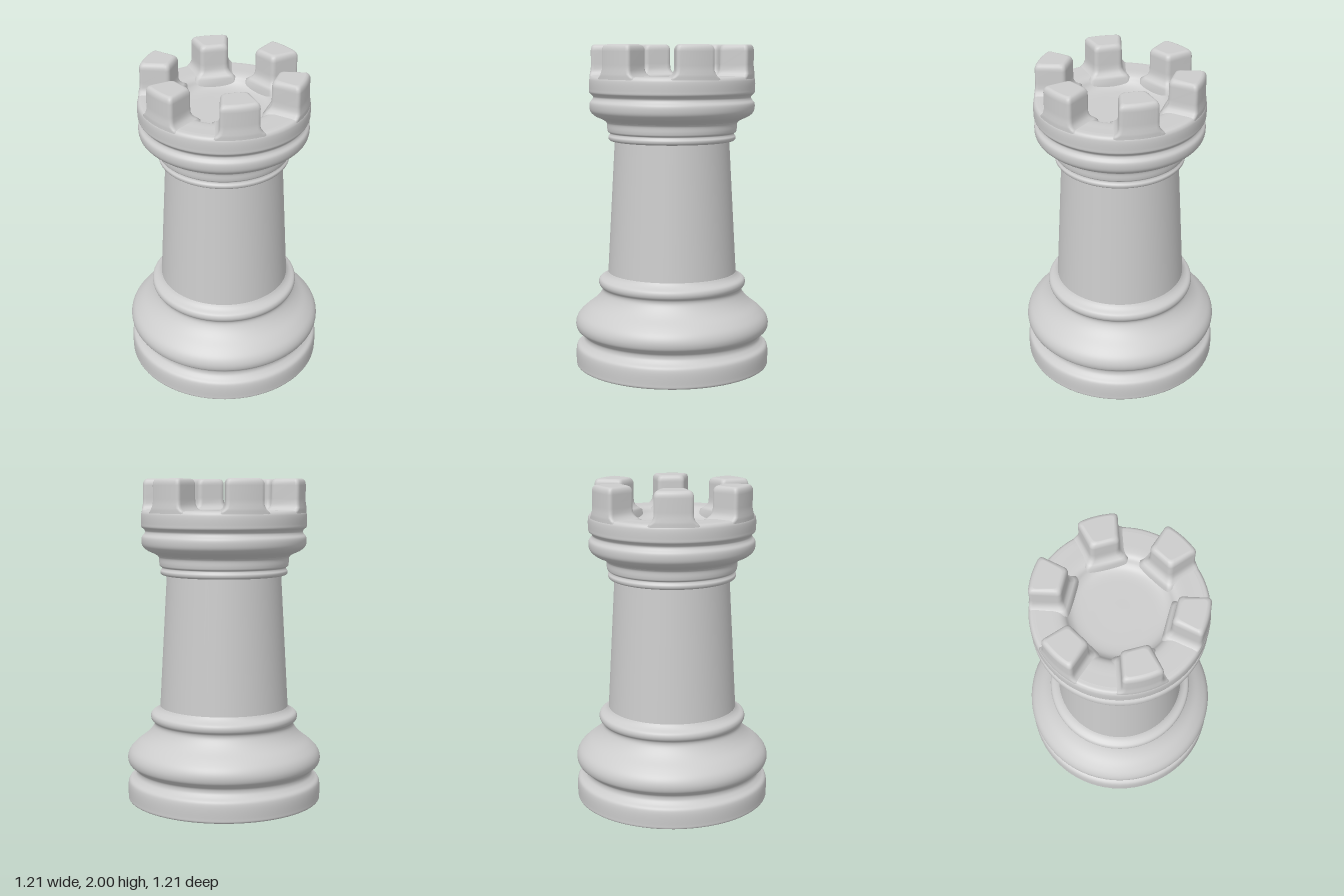
import * as THREE from 'three';

const stone = new THREE.MeshStandardMaterial({ color: 0xcccccc });
stone.name = 'paleGrey';

const SEGMENTS = 72;

// Turned part: smooth curve through [radius, height] points, listed bottom to top
function turned(name, points, steps) {
  const curve = new THREE.CatmullRomCurve3(
    points.map(([r, y]) => new THREE.Vector3(r, y, 0)), false, 'centripetal');
  const profile = curve.getPoints(steps).map(p => new THREE.Vector2(Math.max(p.x, 0), p.y));
  const mesh = new THREE.Mesh(new THREE.LatheGeometry(profile, SEGMENTS), stone);
  mesh.name = name;
  return mesh;
}

// Rounded wedge outline of a battlement block, grown by d on every side
function wedgeOutline(d) {
  const xi = 0.31 - d, xo = Math.min(0.5 + d, 0.506);
  const hi = 0.082 + d, ho = 0.118 + d, r = 0.025;
  const corners = [[xi, -hi], [xo, -ho], [xo, ho], [xi, hi]].map(c => new THREE.Vector2(...c));
  const out = [];
  corners.forEach((c, i) => {
    const toward = q => q.clone().sub(c).setLength(r).add(c);
    const arc = new THREE.QuadraticBezierCurve(
      toward(corners[(i + 3) % 4]), c, toward(corners[(i + 1) % 4]));
    out.push(...arc.getPoints(5));
    if (i === 1) { // extra points so the outer face can follow the round rim
      for (let k = 1; k < 6; k++) out.push(new THREE.Vector2(xo, (ho - r) * (k / 3 - 1)));
    }
  });
  out.forEach(p => { p.x -= p.y * p.y * (p.x - xi) / (xo - xi); });
  return out;
}

// Block lofted from outlines: flared foot, straight sides, softened top
function merlonGeometry() {
  const levels = [
    [1.74, 0.045], [1.80, 0.04], [1.812, 0.024], [1.828, 0.009], [1.85, 0.001], [1.88, 0],
    [1.96, 0], [1.975, -0.001], [1.988, -0.006], [1.996, -0.013], [2.0, -0.023], [2.0, -0.027]];
  const positions = [], index = [];
  let n = 0;
  for (const [y, d] of levels) {
    const outline = wedgeOutline(d);
    n = outline.length;
    outline.forEach(p => positions.push(p.x, y, p.y));
  }
  const top = (levels.length - 1) * n, centre = levels.length * n;
  positions.push(0.4, 2, 0);
  for (let i = 0; i < n; i++) {
    const j = (i + 1) % n;
    for (let k = 0; k < top; k += n) {
      index.push(k + i, k + n + i, k + j, k + j, k + n + i, k + n + j);
    }
    index.push(centre, top + j, top + i);
  }
  const geometry = new THREE.BufferGeometry();
  geometry.setAttribute('position', new THREE.Float32BufferAttribute(positions, 3));
  geometry.setIndex(index);
  geometry.computeVertexNormals();
  return geometry;
}

export function createModel() {
  const model = new THREE.Group();
  model.name = 'chessRook';

  // Underside
  const underside = new THREE.Mesh(new THREE.CircleGeometry(0.59, SEGMENTS), stone);
  underside.name = 'underside';
  underside.rotation.x = Math.PI / 2;
  model.add(underside);

  // Foot with two rolls and a neck ring
  model.add(turned('base', [
    [0.59, 0], [0.603, 0.008], [0.605, 0.03], [0.605, 0.1], [0.597, 0.128], [0.572, 0.148],
    [0.555, 0.17], [0.555, 0.195], [0.575, 0.215], [0.598, 0.235], [0.606, 0.262],
    [0.603, 0.29], [0.588, 0.32], [0.55, 0.358], [0.49, 0.405], [0.455, 0.443],
    [0.438, 0.475], [0.44, 0.494], [0.455, 0.51], [0.46, 0.53], [0.453, 0.55],
    [0.425, 0.567], [0.41, 0.58], [0.398, 0.597]], 110));

  // Tapering tower
  const shaft = new THREE.Mesh(
    new THREE.CylinderGeometry(0.354, 0.401, 0.835, SEGMENTS, 1, true), stone);
  shaft.name = 'shaft';
  shaft.position.y = 1.0025;
  model.add(shaft);

  // Thin rings under the head
  model.add(turned('collar', [
    [0.352, 1.412], [0.375, 1.412], [0.39, 1.42], [0.394, 1.437], [0.386, 1.45],
    [0.384, 1.46], [0.396, 1.468], [0.4, 1.485], [0.402, 1.52], [0.412, 1.535]], 44));

  // Head mouldings
  model.add(turned('head', [
    [0.408, 1.532], [0.435, 1.547], [0.477, 1.567], [0.502, 1.592], [0.509, 1.62],
    [0.506, 1.648], [0.49, 1.668], [0.486, 1.682], [0.494, 1.695], [0.508, 1.709],
    [0.51, 1.73], [0.51, 1.775], [0.506, 1.795], [0.495, 1.808], [0.47, 1.812]], 80));

  // Walkway and sunken floor
  model.add(turned('bowl', [
    [0.47, 1.812], [0.42, 1.812], [0.36, 1.812], [0.33, 1.807], [0.31, 1.795],
    [0.29, 1.77], [0.265, 1.752], [0.23, 1.743], [0.15, 1.74], [0, 1.74]], 50));

  // Six battlement blocks
  const block = merlonGeometry();
  for (let i = 0; i < 6; i++) {
    const merlon = new THREE.Mesh(block, stone);
    merlon.name = 'merlon' + (i + 1);
    merlon.rotation.y = i * Math.PI / 3;
    model.add(merlon);
  }
  return model;
}
